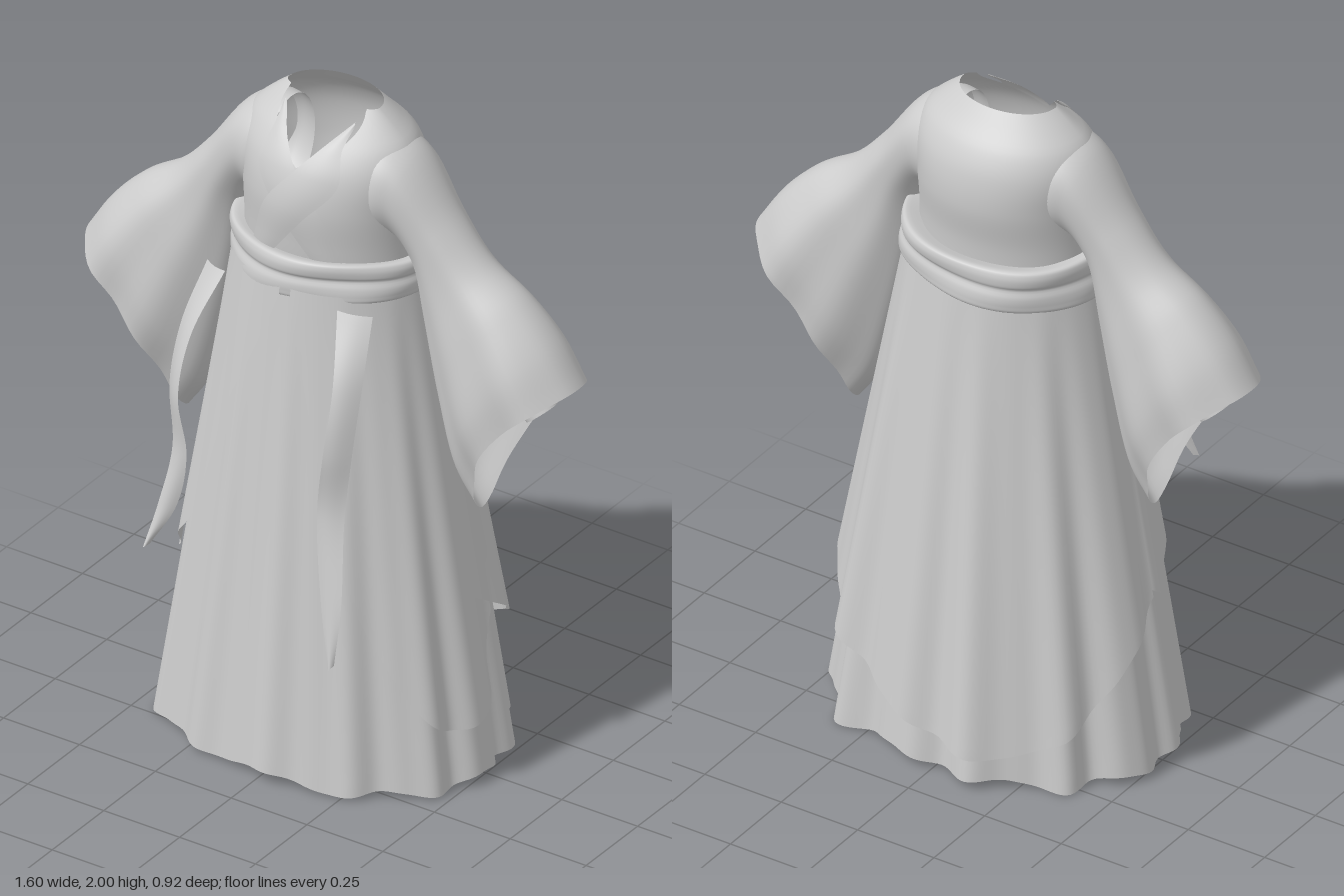
import * as THREE from 'three';

const cloth = new THREE.MeshStandardMaterial({ color: 0xcccccc, side: THREE.DoubleSide });
cloth.name = 'pale grey cloth';
const { sin, cos, sqrt, min, max, abs, PI } = Math;
const RAD = PI / 180;

// Smooth surface from f(u, v) -> [x, y, z]; v runs downwards, wrap closes it in u
function surface(name, nu, nv, f, wrap = false) {
  const pos = [], idx = [], cols = wrap ? nu : nu + 1;
  for (let j = 0; j <= nv; j++)
    for (let i = 0; i < cols; i++) pos.push(...f(i / nu, j / nv));
  for (let j = 0; j < nv; j++)
    for (let i = 0; i < nu; i++) {
      const a = j * cols + i, b = j * cols + (i + 1) % cols;
      idx.push(a, a + cols, b, b, a + cols, b + cols);
    }
  const g = new THREE.BufferGeometry();
  g.setAttribute('position', new THREE.Float32BufferAttribute(pos, 3));
  g.setIndex(idx);
  g.computeVertexNormals();
  const mesh = new THREE.Mesh(g, cloth);
  mesh.name = name;
  return mesh;
}

// Eased interpolation in rows of [key, value, value, ...]
function table(rows, k) {
  let i = 0;
  while (i < rows.length - 2 && k > rows[i + 1][0]) i++;
  const p = rows[max(i - 1, 0)], a = rows[i], b = rows[i + 1], q = rows[min(i + 2, rows.length - 1)];
  const h = b[0] - a[0], t = min(max((k - a[0]) / h, 0), 1);
  return a.slice(1).map((_, n) => {
    const c = n + 1;
    const m0 = (b[c] - p[c]) / (b[0] - p[0]) * h, m1 = (q[c] - a[c]) / (q[0] - a[0]) * h;
    return (2 * t ** 3 - 3 * t * t + 1) * a[c] + (t ** 3 - 2 * t * t + t) * m0
      + (3 * t * t - 2 * t ** 3) * b[c] + (t ** 3 - t * t) * m1;
  });
}

const spline = pts => new THREE.CatmullRomCurve3(pts.map(p => new THREE.Vector3(...p)));

// Point on the pleated skirt cone: angle 0 is the front, 90 degrees is +x
function skirtPoint(a, y, off = 0) {
  const k = (1.5 - y) / 1.5;
  const pleat = 0.015 * k * (1 - 0.35 * cos(a)) * (sin(13 * a + 1) + 0.4 * sin(23 * a + 2 * sin(a)) + 0.5 * sin(6 * a));
  const r = off + pleat;
  const rx = 0.285 + 0.236 * k + r;
  const rz = (cos(a) > 0 ? 0.235 + 0.145 * k : 0.25 + 0.15 * k) + r;
  return [rx * sin(a), y, rz * cos(a)];
}

// Skirt layer hanging to a hem line given as [degrees, height]
function panel(name, hem, base, flare) {
  const a0 = hem[0][0], a1 = hem[hem.length - 1][0];
  return surface(name, 90, 36, (u, v) => {
    const deg = a0 + (a1 - a0) * u;
    const y = 1.5 + (table(hem, deg)[0] - 1.5) * v;
    return skirtPoint(deg * RAD, y, base + flare * (1.5 - y) / 1.5);
  });
}

// Torso outline by height: half width, front depth, back depth
const TORSO = [
  [1.52, 0.265, 0.195, 0.20], [1.62, 0.262, 0.205, 0.205], [1.74, 0.265, 0.212, 0.222],
  [1.84, 0.27, 0.19, 0.212], [1.91, 0.25, 0.145, 0.18], [1.96, 0.2, 0.09, 0.135],
  [2, 0.15, 0.045, 0.1],
];
const chestZ = (x, y) => {
  const [rx, zf] = table(TORSO, y);
  return zf * sqrt(max(0, 1 - (x / rx) ** 2));
};

// Collar band lying on the chest between an inner and an outer edge
function collar(name, side, off) {
  const inner = spline([[0.115, 1.975, 0], [0.065, 1.92, 0], [0, 1.845, 0], [-0.09, 1.73, 0], [-0.15, 1.57, 0]]);
  const outer = spline([[0.12, 1.97, 0], [0.115, 1.92, 0], [0.133, 1.83, 0], [0.04, 1.71, 0], [-0.07, 1.57, 0]]);
  return surface(name, 8, 40, (u, v) => {
    const p = inner.getPoint(v).lerp(outer.getPoint(v), side > 0 ? u : 1 - u);
    return [side * p.x, p.y, chestZ(p.x, p.y) + off + 0.004 * sin(PI * u)];
  });
}

// Loose ribbon between two edges
function ribbon(name, left, right) {
  const l = spline(left), r = spline(right);
  return surface(name, 6, 48, (u, v) => {
    const p = l.getPoint(v).lerp(r.getPoint(v), u);
    return [p.x, p.y, p.z + 0.008 * sin(PI * u)];
  });
}

// Wide hanging sleeve; ridge and underside points hold x, y and half depth
function sleeve() {
  const arm = new THREE.Group();
  const ridge = spline([[0.14, 1.94, 0.12], [0.2, 1.935, 0.135], [0.275, 1.895, 0.12], [0.4, 1.73, 0.098],
    [0.5, 1.62, 0.1], [0.62, 1.54, 0.125], [0.72, 1.44, 0.147], [0.8, 1.32, 0.143]]);
  const under = spline([[0.15, 1.62, 0], [0.2, 1.625, 0], [0.24, 1.63, 0], [0.28, 1.56, 0], [0.31, 1.39, 0],
    [0.36, 1.15, 0], [0.42, 0.94, 0], [0.485, 0.84, 0]]);
  arm.add(surface('wideSleeve', 56, 44, (u, v) => {
    const a = u * 2 * PI, t = ridge.getPoint(v), b = under.getPoint(v);
    const c = (1 + cos(a)) / 2, bow = 0.07 * v ** 3 * sin(a) ** 2;
    const fold = 1 + 0.07 * v * v * sin(7 * a + 1);
    const drop = 1 + 0.4 * v * cos(a);
    return [b.x + (t.x - b.x) * c - 0.83 * bow, b.y + (t.y - b.y) * c + 0.55 * bow,
      -t.z * sin(a) * drop * fold - 0.008 * v];
  }, true));
  // narrow undersleeve showing at the wrist
  const from = new THREE.Vector3(0.5, 1.42, -0.008), to = new THREE.Vector3(0.68, 1.205, -0.008);
  const dir = to.clone().sub(from);
  const cuff = new THREE.Mesh(new THREE.CylinderGeometry(0.058, 0.05, dir.length(), 24, 1, true), cloth);
  cuff.name = 'innerCuff';
  cuff.position.copy(from).add(to).multiplyScalar(0.5);
  cuff.quaternion.setFromUnitVectors(new THREE.Vector3(0, 1, 0), dir.normalize().negate());
  arm.add(cuff);
  return arm;
}

export function createModel() {
  const robe = new THREE.Group();
  robe.name = 'robe';

  // pleated underskirt with a wavy hem
  robe.add(surface('skirt', 240, 30, (u, v) => {
    const a = u * 2 * PI;
    const hem = 0.01 * (1 + sin(9 * a + 1)) + 0.008 * (1 + cos(a * 4));
    return skirtPoint(a, 1.5 + (hem - 1.5) * v);
  }, true));

  // overskirt: two front flaps and a longer back panel
  robe.add(panel('leftFlap', [[4, 1.47], [14, 1.2], [24, 0.9], [34, 0.6], [46, 0.4], [58, 0.25],
    [70, 0.19], [88, 0.21], [98, 0.31], [106, 0.45]], 0.008, 0.016));
  robe.add(panel('rightFlap', [[-108, 0.6], [-90, 0.54], [-72, 0.47], [-58, 0.55], [-44, 0.7], [-32, 1.03],
    [-18, 1.25], [-3, 1.47]], 0.008, 0.016));
  robe.add(panel('backPanel', [[87, 0.56], [105, 0.48], [125, 0.38], [145, 0.28], [165, 0.2], [182, 0.14],
    [205, 0.12], [230, 0.21], [250, 0.38], [270, 0.52]], 0.012, 0.04));

  // rolled sash, slightly tilted
  const roll = [[0, -0.05, 1.578], [0.1, -0.01, 1.59], [0.25, 0.003, 1.575], [0.42, 0.002, 1.548],
    [0.52, -0.004, 1.535], [0.62, 0.004, 1.515], [0.8, 0.006, 1.487], [0.92, 0, 1.468], [1, -0.035, 1.472]];
  robe.add(surface('sash', 96, 32, (u, v) => {
    const a = u * 2 * PI, [d, y] = table(roll, v);
    const r = d + 0.003 * sin(5 * a + 4 * v);
    return [(0.302 + r) * sin(a), y + 0.016 * sin(a) * v + 0.004 * sin(3 * a), (0.25 + r) * cos(a) - 0.014];
  }, true));

  // bodice with a V neckline
  robe.add(surface('bodice', 96, 36, (u, v) => {
    const a = (u > 0.5 ? u - 1 : u) * 2 * PI;
    const neck = 1.85 + 0.15 * min(1, abs(a) / (55 * RAD));
    const y = neck + (1.52 - neck) * v;
    const [rx, zf, zb] = table(TORSO, y);
    return [rx * sin(a), y, (cos(a) > 0 ? zf : zb) * cos(a)];
  }, true));
  robe.add(collar('underCollar', -1, 0.003), collar('overCollar', 1, 0.009));

  // sleeves
  const leftSleeve = sleeve();
  leftSleeve.name = 'leftSleeve';
  const rightSleeve = sleeve();
  rightSleeve.name = 'rightSleeve';
  rightSleeve.scale.x = -1;
  robe.add(leftSleeve, rightSleeve);

  // sash ties blowing forward, turned partly edge-on
  robe.add(ribbon('leftTie',
    [[0.18, 1.49, 0.25], [0.235, 1.3, 0.355], [0.24, 1.12, 0.41], [0.215, 0.92, 0.4], [0.24, 0.68, 0.42], [0.29, 0.48, 0.457]],
    [[0.28, 1.49, 0.225], [0.295, 1.3, 0.3], [0.3, 1.12, 0.355], [0.295, 0.92, 0.385], [0.315, 0.68, 0.43], [0.305, 0.5, 0.45]]));
  robe.add(ribbon('rightTie',
    [[-0.265, 1.49, 0.225], [-0.3, 1.32, 0.3], [-0.305, 1.15, 0.35], [-0.275, 0.97, 0.38], [-0.295, 0.8, 0.42], [-0.32, 0.67, 0.457]],
    [[-0.19, 1.49, 0.25], [-0.235, 1.32, 0.35], [-0.24, 1.15, 0.405], [-0.215, 0.97, 0.4], [-0.245, 0.8, 0.405], [-0.305, 0.68, 0.445]]));

  return robe;
}
